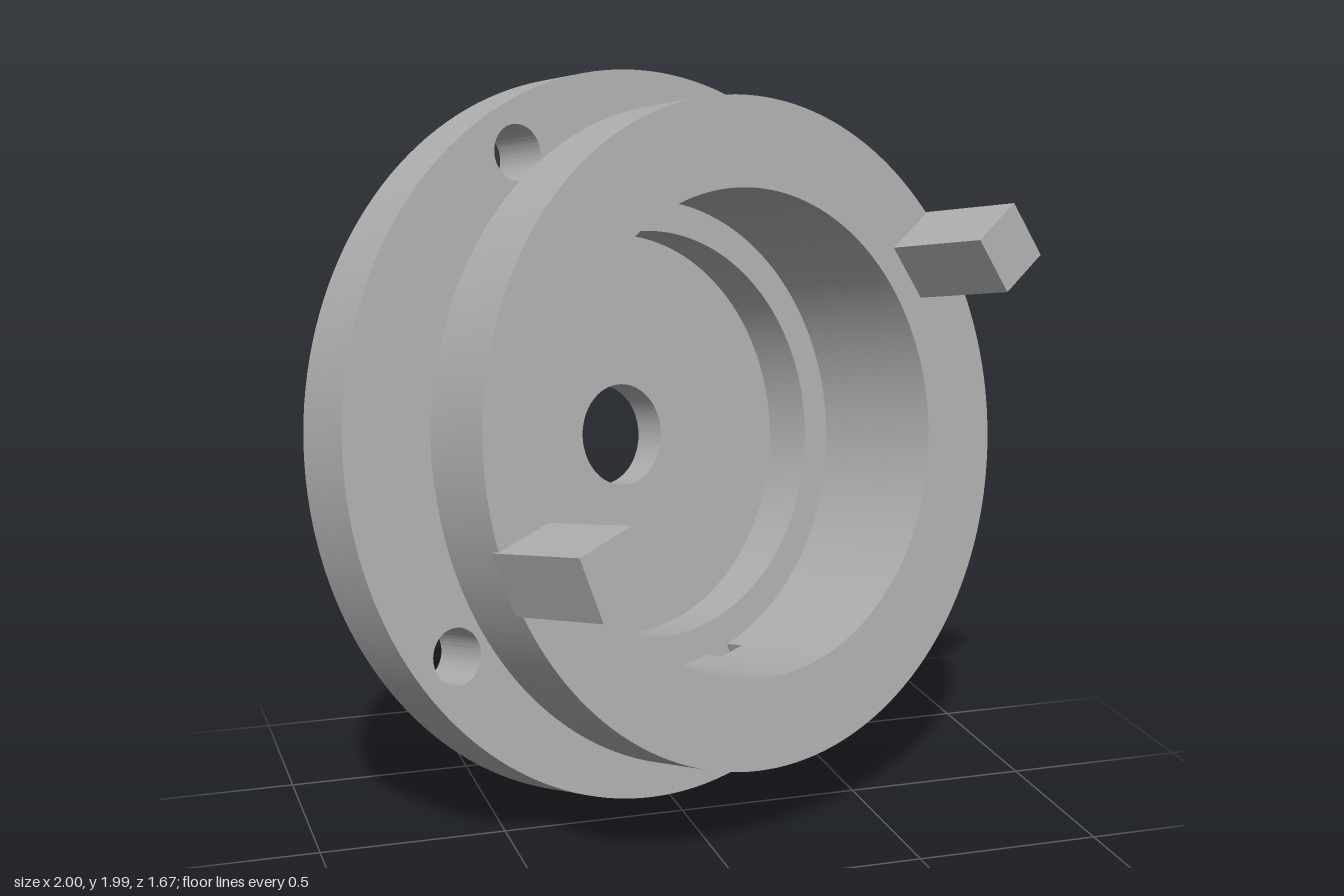
import * as THREE from 'three';
import { toCreasedNormals } from 'three/addons/utils/BufferGeometryUtils.js';

const grey = new THREE.MeshStandardMaterial({ color: 0xb0b0b0 });
grey.name = 'plain grey';

const DEG = Math.PI / 180;
const SYMMETRY = 112.5 * DEG; // direction of the part's mirror plane

// Ring shape with a bore, optional extra round holes, or a radial gap
function ringShape(outer, inner, holes = []) {
  const shape = new THREE.Shape().absarc(0, 0, outer, 0, Math.PI * 2);
  for (const [x, y, r] of [[0, 0, inner], ...holes]) {
    shape.holes.push(new THREE.Path().absarc(x, y, r, 0, Math.PI * 2, true));
  }
  return shape;
}

function gapShape(outer, inner, angle, half) {
  const a = angle + half, b = angle - half + Math.PI * 2;
  const shape = new THREE.Shape();
  shape.absarc(0, 0, outer, a, b, false);
  shape.absarc(0, 0, inner, b, a, true);
  shape.closePath();
  return shape;
}

function layer(name, shape, from, to) {
  const geo = new THREE.ExtrudeGeometry(shape, {
    depth: to - from, bevelEnabled: false, curveSegments: 80,
  });
  geo.translate(0, 0, from);
  const mesh = new THREE.Mesh(toCreasedNormals(geo, 0.5), grey);
  mesh.name = name;
  return mesh;
}

export function createModel() {
  const model = new THREE.Group();
  model.name = 'flangedHub';
  const hub = new THREE.Group();
  hub.name = 'tiltedHub';
  model.add(hub);

  // Three screw holes around the flange
  const screwHoles = [-100, 0, 100].map((d) => {
    const t = SYMMETRY + d * DEG;
    return [0.865 * Math.cos(t), 0.865 * Math.sin(t), 0.075];
  });

  // Turned body, stacked along the hub axis from back to front
  hub.add(
    layer('backBoss', ringShape(0.73, 0.14), -0.045, 0),
    layer('flangeFloor', ringShape(0.995, 0.14, screwHoles), 0, 0.055),
    layer('flange', ringShape(0.995, 0.555, screwHoles), 0.055, 0.18),
    layer('neckLedge', ringShape(0.73, 0.555), 0.18, 0.205),
    layer('neckWithDrainSlot', gapShape(0.73, 0.64, 281 * DEG, 0.06), 0.205, 0.265),
    layer('neck', ringShape(0.73, 0.64), 0.265, 0.403),
    layer('frontRing', ringShape(0.88, 0.64), 0.403, 0.615),
  );

  // Two square drive prongs on the front ring
  for (const d of [-83, 83]) {
    const t = SYMMETRY + d * DEG;
    const prong = new THREE.Mesh(new THREE.BoxGeometry(0.17, 0.17, 0.34), grey);
    prong.name = 'drivePronɡ'.replace('ɡ', 'g');
    prong.position.set(0.797 * Math.cos(t), 0.797 * Math.sin(t), 0.765);
    prong.rotation.z = t;
    hub.add(prong);
  }

  // Tilt the hub axis towards the upper front left
  const axis = new THREE.Vector3(0.403, 0.184, 0.896).normalize();
  const side = new THREE.Vector3(0, 1, 0).cross(axis).normalize();
  const up = axis.clone().cross(side);
  hub.setRotationFromMatrix(new THREE.Matrix4().makeBasis(side, up, axis));
  hub.position.set(-0.09, 0.98, -0.4);
  return model;
}
